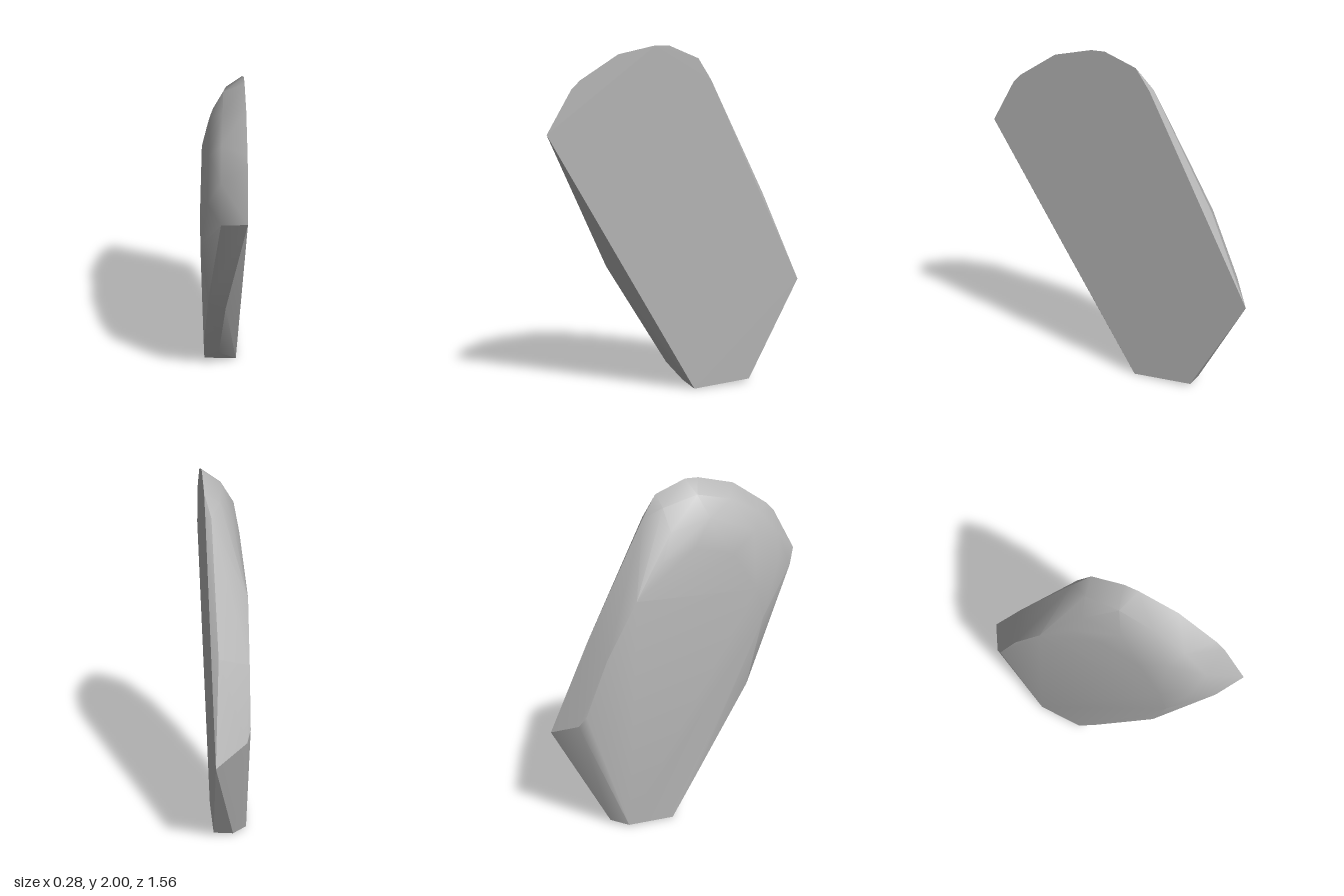
import * as THREE from 'three';
import { ConvexGeometry } from 'three/addons/geometries/ConvexGeometry.js';
import { toCreasedNormals } from 'three/addons/utils/BufferGeometryUtils.js';

// Planes of the two broad sides, x as a function of z and y
const leftSide = (z, y) => 0.08 + 0.0475 * z + 0.012 * y;
const rightSide = (z, y) => -0.1226 + 0.0242 * z - 0.0031 * y;

export function createModel() {
  const group = new THREE.Group();
  const stone = new THREE.MeshStandardMaterial({ color: 0xb4b4b4 });
  stone.name = 'grey stone';

  // Outline of the large flat side, as [z, y]
  const leftOutline = [
    [0.78, 1.52], [0.64, 1.76], [0.59, 1.81], [0.37, 1.95], [0.15, 2.0], [0.07, 2.0],
    [-0.11, 1.93], [-0.19, 1.81], [-0.78, 0.61], [-0.46, 0.02], [-0.1, 0],
  ];
  // Outline of the smaller, worn side, as [z, y]
  const rightOutline = [
    [-0.62, 0.76], [-0.49, 1.08], [-0.31, 1.4], [0.47, 1.2], [0.42, 1.38],
    [0.28, 0.76], [0.02, 0.2], [-0.1, 0], [-0.38, 0.01],
  ];
  // Rounded rim between the sides, as [x, y, z]
  const rim = [
    [0, 1.46, 0.69], [0, 1.66, 0.61], [0, 1.8, 0.48], [0, 1.89, 0.3], [0, 1.93, 0.1], [0.01, 1.87, -0.1],
    [-0.07, 1.52, 0.58], [-0.07, 1.71, 0.42], [-0.07, 1.81, 0.15], [-0.06, 1.75, -0.08],
    [-0.1, 1.6, -0.14], [-0.1, 1.66, 0.05], [-0.1, 1.6, 0.28],
    [0.06, 1.81, -0.2], [0.03, 1.14, -0.55],
    [0.02, 0.76, 0.42], [-0.08, 0.78, 0.39], [-0.03, 0.15, 0.04],
    [-0.12, 0.7, -0.66], [-0.053, 0.02, -0.47],
  ];

  const points = [
    ...leftOutline.map(([z, y]) => new THREE.Vector3(leftSide(z, y), y, z)),
    ...rightOutline.map(([z, y]) => new THREE.Vector3(rightSide(z, y), y, z)),
    ...rim.map((p) => new THREE.Vector3(...p)),
  ];

  // Slab with a softly rounded top and crisp broken edges
  const slab = new THREE.Mesh(toCreasedNormals(new ConvexGeometry(points), 0.55), stone);
  slab.name = 'stoneSlab';
  group.add(slab);
  return group;
}
